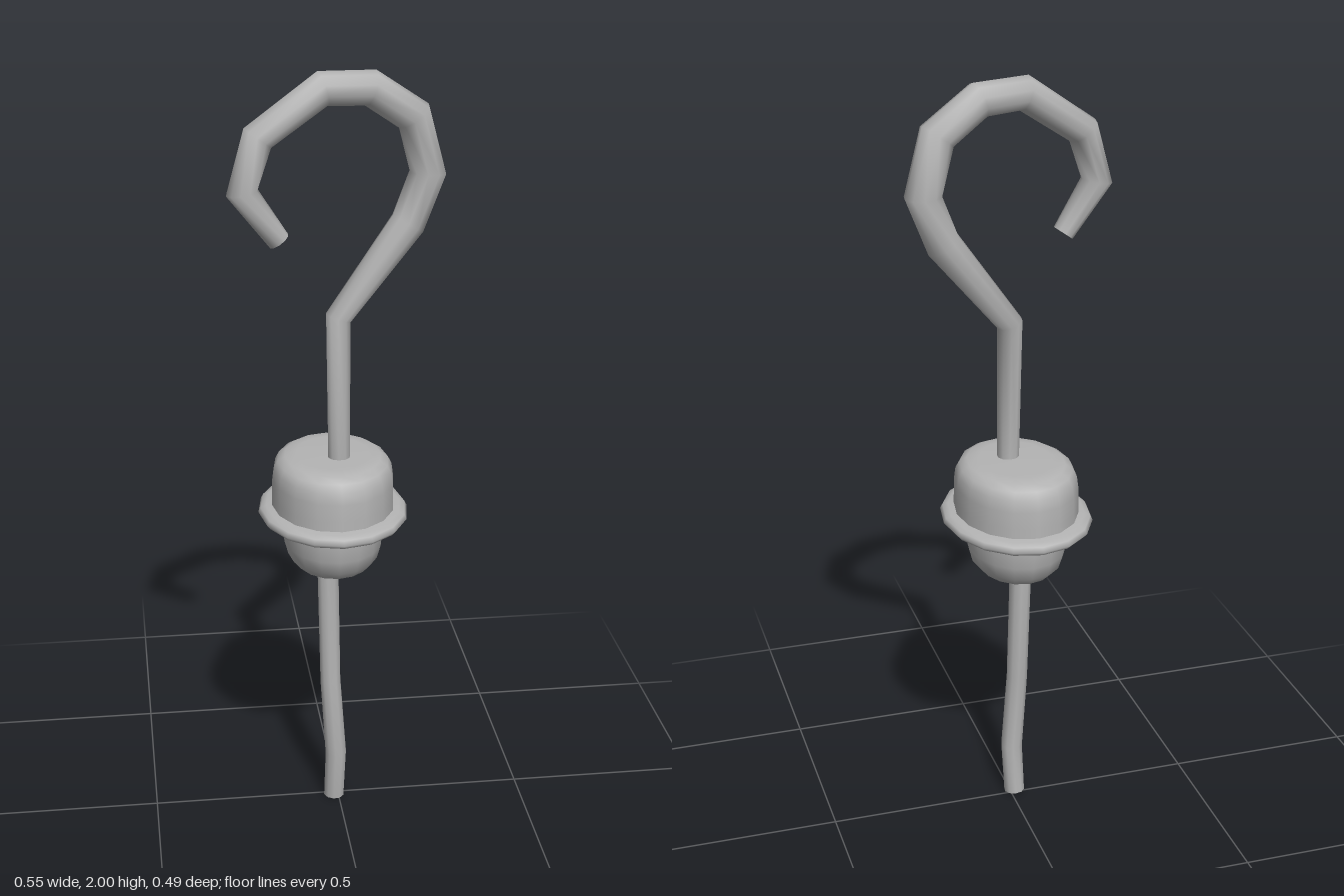
import * as THREE from 'three';

// Lofts a round rod through [x, y, z, radius] stations, with mitred bends and closed ends.
function bentRod(stations, sides) {
  const pts = stations.map(([x, y, z]) => new THREE.Vector3(x, y, z));
  const last = pts.length - 1;
  const dir = (i) => pts[i + 1].clone().sub(pts[i]).normalize();
  // the hook lies close to one upright plane, so its normal guides every ring
  const planeNormal = new THREE.Vector3(0.18, 0, 1).normalize();
  const pos = [];
  const index = [];
  pts.forEach((p, i) => {
    const before = dir(Math.max(i - 1, 0));
    const after = dir(Math.min(i, last - 1));
    const t = before.clone().add(after).normalize();
    const u = new THREE.Vector3().crossVectors(t, planeNormal).normalize();
    const v = new THREE.Vector3().crossVectors(t, u);
    const r = stations[i][3];
    for (let j = 0; j < sides; j++) {
      const a = (j / sides) * Math.PI * 2;
      const q = p.clone().addScaledVector(u, r * Math.cos(a)).addScaledVector(v, r * Math.sin(a));
      pos.push(q.x, q.y, q.z);
      if (i < last) {
        const k = i * sides + j;
        const n = i * sides + ((j + 1) % sides);
        index.push(k, n, k + sides, n, n + sides, k + sides);
      }
    }
  });
  // flat end caps with their own vertices
  for (const ring of [0, last]) {
    const start = pos.length / 3;
    pos.push(...pos.slice(ring * sides * 3, (ring + 1) * sides * 3));
    for (let j = 1; j < sides - 1; j++) {
      if (ring === 0) index.push(start, start + j + 1, start + j);
      else index.push(start, start + j, start + j + 1);
    }
  }
  const g = new THREE.BufferGeometry();
  g.setAttribute('position', new THREE.Float32BufferAttribute(pos, 3));
  g.setIndex(index);
  g.computeVertexNormals();
  return g;
}

// Oval turned piece from a [radius, y] profile listed bottom to top
function ovalTurning(name, profile, material) {
  const points = profile.map(([r, y]) => new THREE.Vector2(r, y));
  const mesh = new THREE.Mesh(new THREE.LatheGeometry(points, 16), material);
  mesh.name = name;
  mesh.scale.z = 1.25;
  mesh.position.x = -0.013;
  return mesh;
}

export function createModel() {
  const model = new THREE.Group();
  model.name = 'hook';
  const metal = new THREE.MeshStandardMaterial({ color: 0xb4b4b4 });
  metal.name = 'grey metal';

  // Rod running from the foot, through the body, into the open hook
  const rod = new THREE.Mesh(bentRod([
    [-0.012, 0, 0.01, 0.028],
    [-0.008, 0.14, 0.022, 0.029],
    [-0.022, 0.36, 0.018, 0.028],
    [-0.026, 0.69, 0, 0.029],
    [0, 1.01, 0.027, 0.029],
    [0, 1.38, 0.012, 0.034],
    [0.178, 1.61, -0.018, 0.045],
    [0.228, 1.735, -0.028, 0.047],
    [0.19, 1.877, -0.022, 0.047],
    [0.08, 1.952, 0, 0.045],
    [-0.04, 1.957, 0.022, 0.044],
    [-0.2, 1.848, 0.05, 0.042],
    [-0.24, 1.718, 0.056, 0.04],
    [-0.15, 1.592, 0.045, 0.028],
  ], 10), metal);
  rod.name = 'hookRod';
  model.add(rod);

  // Rounded bowl below the brim
  model.add(ovalTurning('lowerBowl', [
    [0, 0.694], [0.07, 0.697], [0.097, 0.708], [0.118, 0.733],
    [0.128, 0.77], [0.132, 0.81], [0.134, 0.85],
  ], metal));

  // Thin flared brim
  model.add(ovalTurning('brim', [
    [0.12, 0.84], [0.165, 0.84], [0.186, 0.844], [0.195, 0.855],
    [0.189, 0.867], [0.175, 0.873], [0.15, 0.876],
  ], metal));

  // Soft-edged cap above the brim
  model.add(ovalTurning('upperCap', [
    [0.16, 0.86], [0.159, 0.9], [0.158, 0.945], [0.154, 0.975],
    [0.144, 0.995], [0.125, 1.007], [0.095, 1.011], [0, 1.012],
  ], metal));

  return model;
}
